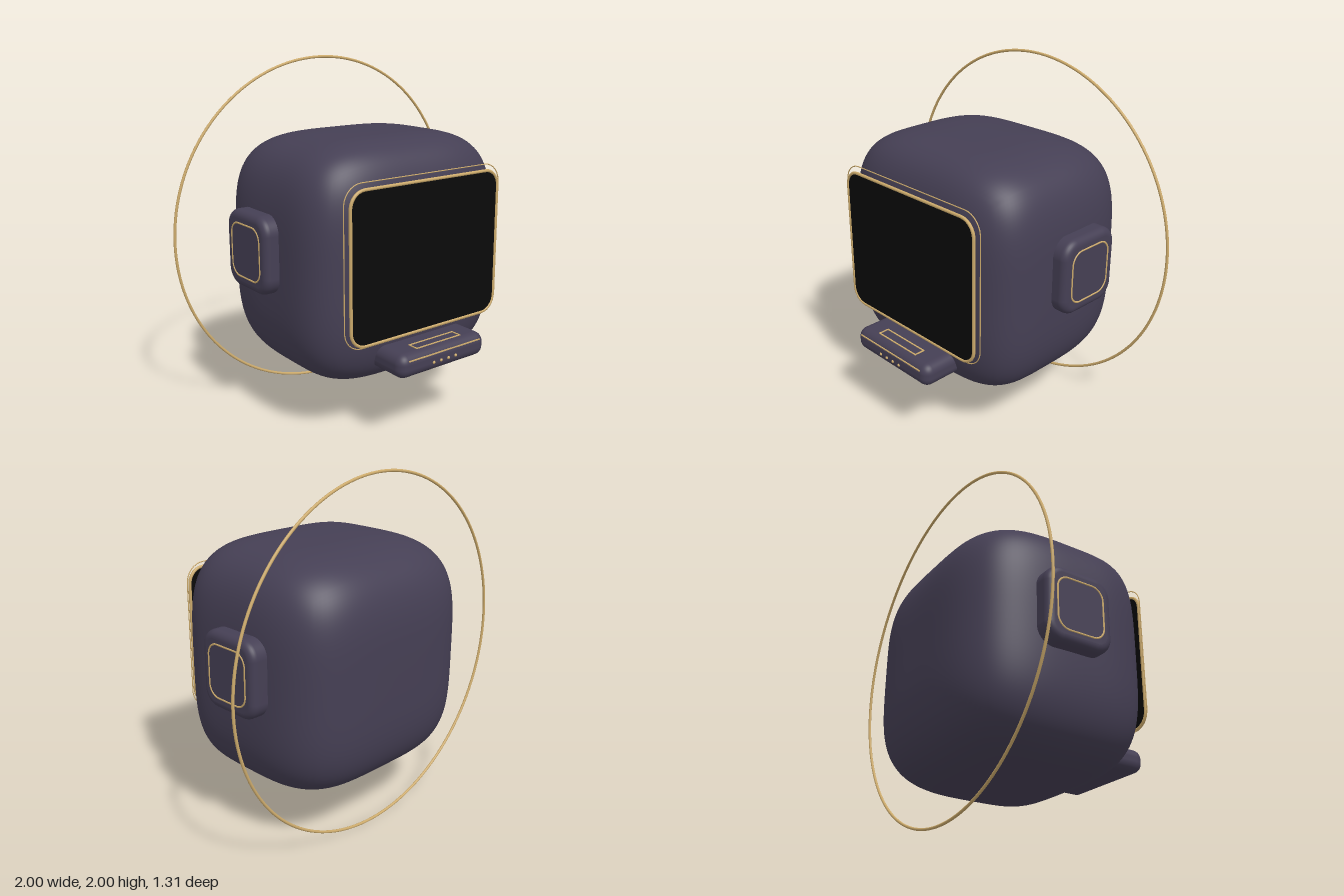
import * as THREE from 'three';
import { mergeVertices } from 'three/addons/utils/BufferGeometryUtils.js';
import { RoundedBoxGeometry } from 'three/addons/geometries/RoundedBoxGeometry.js';

const shell = new THREE.MeshStandardMaterial({ color: 0x453f54 });
shell.name = 'shell plum';
const gold = new THREE.MeshStandardMaterial({ color: 0xcdab6c });
gold.name = 'gold trim';
const glass = new THREE.MeshStandardMaterial({ color: 0x0a0a0a });
glass.name = 'screen black';

function roundedRect(w, h, r) {
  const s = new THREE.Shape(), x = w / 2, y = h / 2;
  s.moveTo(-x + r, -y);
  s.lineTo(x - r, -y);
  s.absarc(x - r, -y + r, r, -Math.PI / 2, 0);
  s.lineTo(x, y - r);
  s.absarc(x - r, y - r, r, 0, Math.PI / 2);
  s.lineTo(-x + r, y);
  s.absarc(-x + r, y - r, r, Math.PI / 2, Math.PI);
  s.lineTo(-x, -y + r);
  s.absarc(-x + r, -y + r, r, Math.PI, Math.PI * 1.5);
  return s;
}

// Closed outline of a shape as a 3D path
class Outline extends THREE.Curve {
  constructor(shape) {
    super();
    this.shape = shape;
  }
  getPoint(t, target = new THREE.Vector3()) {
    const p = this.shape.getPointAt(t);
    return target.set(p.x, p.y, 0);
  }
}

function trimRing(w, h, r, tube) {
  return new THREE.TubeGeometry(new Outline(roundedRect(w, h, r)), 160, tube, 8, true);
}

// Cushion body: each point of a cube is pushed out to a superellipsoid,
// squarer towards the front and rounder towards the back
function bodyGeometry() {
  let g = new THREE.BoxGeometry(2, 2, 2, 36, 36, 36);
  g.deleteAttribute('uv');
  g.deleteAttribute('normal');
  g = mergeVertices(g);
  const p = g.attributes.position, v = new THREE.Vector3();
  for (let i = 0; i < p.count; i++) {
    v.fromBufferAttribute(p, i);
    const n = v.z > 0 ? 4.2 : 3.4;
    let lo = 0, hi = 1;
    for (let k = 0; k < 30; k++) {
      const s = (lo + hi) / 2;
      const f = Math.abs(v.x * s) ** 4 + Math.abs(v.y * s) ** 4 + Math.abs(v.z * s) ** n;
      if (f < 1) lo = s; else hi = s;
    }
    v.multiplyScalar(lo);
    p.setXYZ(i, v.x * 0.667, v.y * 0.67, v.z * (v.z > 0 ? 0.49 : 0.64));
  }
  g.computeVertexNormals();
  return g;
}

export function createModel() {
  const model = new THREE.Group();
  const add = (name, geometry, material, x, y, z, parent = model) => {
    const m = new THREE.Mesh(geometry, material);
    m.name = name;
    m.position.set(x, y, z);
    parent.add(m);
    return m;
  };

  add('body', bodyGeometry(), shell, 0, 0.94, -0.02);
  add('halo', new THREE.TorusGeometry(0.991, 0.008, 10, 160), gold, 0, 1, -0.47);

  // Screen with its frame and outer trim line
  const screen = new THREE.ExtrudeGeometry(roundedRect(1.01, 0.82, 0.09),
    { depth: 0.008, bevelEnabled: false, curveSegments: 12 });
  add('screen', screen, glass, 0, 0.992, 0.487);
  add('screenFrame', trimRing(1.016, 0.82, 0.09, 0.009), gold, 0, 0.992, 0.492);
  add('outerTrim', trimRing(1.074, 0.87, 0.11, 0.003), gold, 0, 1, 0.475);

  // Side pods with trim rings
  for (const side of [1, -1]) {
    const pod = new THREE.Group();
    pod.name = side > 0 ? 'leftPod' : 'rightPod';
    pod.position.set(0, 1.005, -0.122);
    pod.rotation.y = side * Math.PI / 2;
    model.add(pod);
    const shape = roundedRect(0.326, 0.35, 0.06);
    const cap = new THREE.ExtrudeGeometry(shape, {
      depth: 0.09, bevelThickness: 0.04, bevelSize: 0.04, bevelSegments: 8, curveSegments: 12,
    });
    // Smooth the bevel by welding its vertices
    cap.deleteAttribute('uv');
    cap.deleteAttribute('normal');
    const smooth = mergeVertices(cap);
    smooth.computeVertexNormals();
    add('podShell', smooth, shell, 0, 0, 0.62, pod);
    add('podTrim', trimRing(0.286, 0.296, 0.07, 0.006), gold, 0, 0, 0.748, pod);
  }

  // Chin pod with its gold details
  add('chin', new RoundedBoxGeometry(0.61, 0.135, 0.3, 6, 0.055), shell, 0, 0.467, 0.497);
  add('chinLine', new THREE.BoxGeometry(0.51, 0.006, 0.006), gold, 0, 0.506, 0.65);
  for (let i = 0; i < 4; i++) {
    add('chinDot', new THREE.SphereGeometry(0.009, 12, 8), gold, -0.08 + i * 0.052, 0.456, 0.646);
  }
  for (const s of [1, -1]) {
    add('chinTopTrimLong', new THREE.BoxGeometry(0.316, 0.006, 0.008), gold, 0, 0.535, 0.563 + s * 0.03);
    add('chinTopTrimShort', new THREE.BoxGeometry(0.008, 0.006, 0.068), gold, s * 0.155, 0.535, 0.563);
  }
  return model;
}
